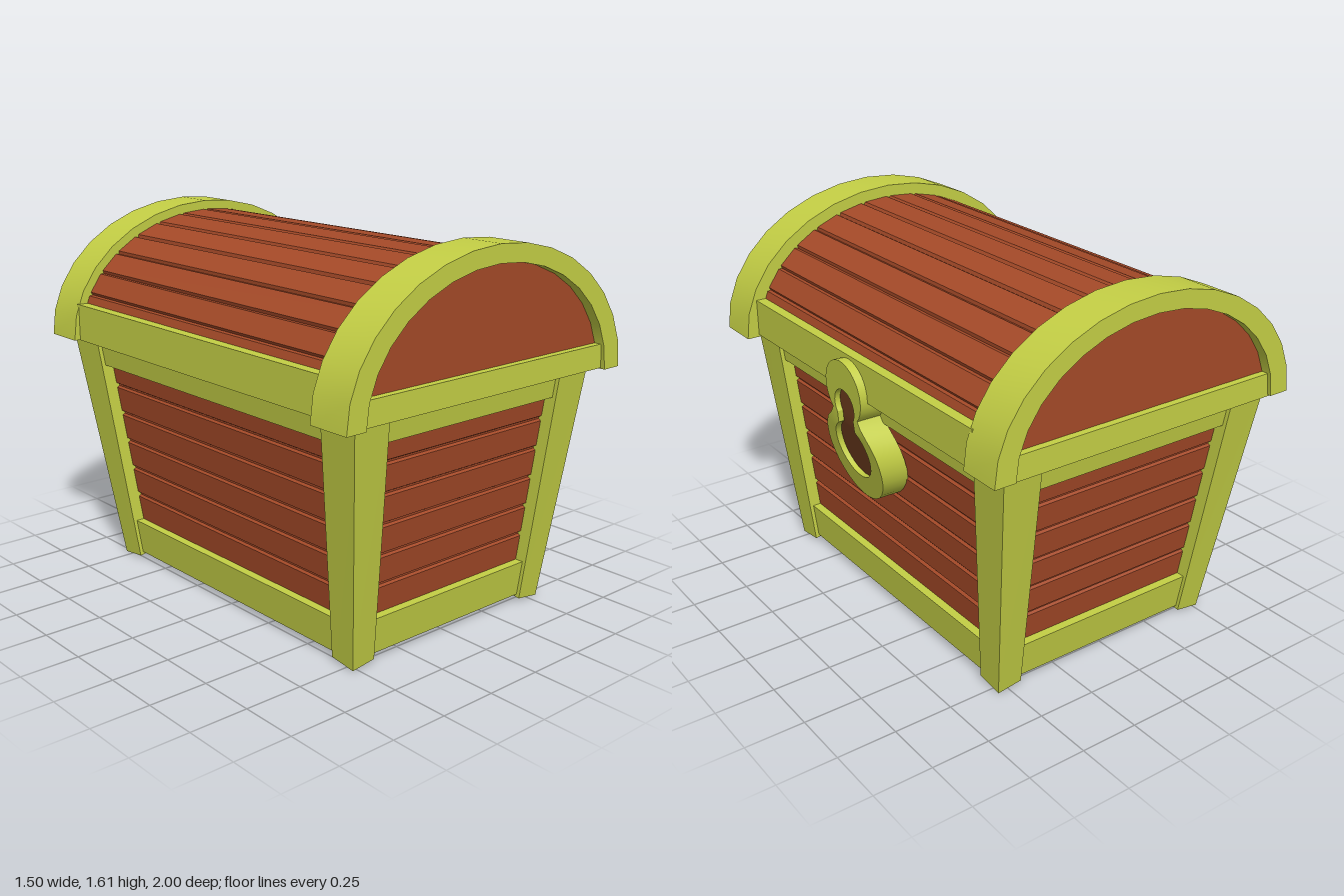
import * as THREE from 'three';
import { toCreasedNormals } from 'three/addons/utils/BufferGeometryUtils.js';

const GOLD = new THREE.MeshStandardMaterial({ color: 0xc4cf45 });
const WOOD = new THREE.MeshStandardMaterial({ color: 0xa54a28 });
const DARK = new THREE.MeshStandardMaterial({ color: 0x6e3c1e });

// Outer outline of the tapered base at height y: half sizes and slight lean
const hx = y => 0.535 + 0.104 * y;
const hz = y => 0.79 + 0.14 * y;
const cx = y => 0.015 * (1 - y);
const cz = y => -0.01 * y;

// Skins a list of closed rings; the ends are capped, joined together or left open
function loft(rings, ends) {
  const pos = [];
  const tri = (...pts) => pts.forEach(p => pos.push(...p));
  const n = rings[0].length;
  const last = ends === 'join' ? rings.length : rings.length - 1;
  for (let r = 0; r < last; r++) {
    const lo = rings[r], hi = rings[(r + 1) % rings.length];
    for (let i = 0; i < n; i++) {
      const j = (i + 1) % n;
      tri(lo[i], lo[j], hi[j]);
      tri(lo[i], hi[j], hi[i]);
    }
  }
  if (ends === 'cap') {
    const a = rings[0], b = rings[rings.length - 1];
    for (let i = 1; i < n - 1; i++) {
      tri(a[0], a[i + 1], a[i]);
      tri(b[0], b[i], b[i + 1]);
    }
  }
  const g = new THREE.BufferGeometry();
  g.setAttribute('position', new THREE.Float32BufferAttribute(pos, 3));
  return toCreasedNormals(g, 0.5);
}

// Rectangular ring around the base, set in from the outline
function baseRing([inset, y]) {
  const x = hx(y) - inset, z = hz(y) - inset;
  return [[-1, 1], [1, 1], [1, -1], [-1, -1]].map(([a, b]) => [cx(y) + a * x, y, cz(y) + b * z]);
}

// Cross-section of a corner post; its foot is cut square to the lean
function postRing(sx, sz, y, wx, wz, rise) {
  const corner = (ix, iz) => [
    cx(y) + sx * (hx(y) - ix * wx), y + rise * (ix + iz), cz(y) + sz * (hz(y) - iz * wz)];
  const ring = [corner(0, 0), corner(1, 0), corner(1, 1), corner(0, 1)];
  return sx * sz > 0 ? ring.reverse().map((_, i, r) => r[(r.length - i) % r.length]).reverse() : ring.reverse();
}

// Extrudes an outline along z, centred on z
function extrude(shape, depth, z) {
  const g = new THREE.ExtrudeGeometry(shape, { depth, bevelEnabled: false });
  g.translate(0, 0, z - depth / 2);
  return toCreasedNormals(g, 0.5);
}

const SEG = 16;
const ellipse = (a, b, y, t) => new THREE.Vector2(a * Math.cos(t), y + b * Math.sin(t));

// Vaulted plank profile with a small notch at every seam
function vaultShape() {
  const pts = [];
  for (let k = 0; k <= SEG; k++) {
    const t = k * Math.PI / SEG;
    if (k === 0 || k === SEG) { pts.push(ellipse(0.686, 0.52, 1.04, t)); continue; }
    pts.push(ellipse(0.686, 0.52, 1.04, t - 0.016));
    pts.push(ellipse(0.674, 0.508, 1.04, t));
    pts.push(ellipse(0.686, 0.52, 1.04, t + 0.016));
  }
  return new THREE.Shape(pts);
}

// Half-ring band for the ends of the lid
function archShape(a, y, top) {
  const outer = [], inner = [];
  for (let k = 0; k <= SEG; k++) {
    const t = k * Math.PI / SEG;
    outer.push(ellipse(a, top - y, y, t));
    inner.push(ellipse(a - 0.092, top - y - 0.073, y, t));
  }
  return new THREE.Shape([...outer, ...inner.reverse()]);
}

// Keyhole outline as [sideways, y]: a lower and an upper circle, mirrored
function keyhole(y1, r1, end1, y2, r2, start2) {
  const half = [], N = 12;
  const arc = (y, r, from, to) => {
    for (let i = 0; i <= N; i++) {
      const t = THREE.MathUtils.degToRad(from + (to - from) * i / N);
      half.push([r * Math.cos(t), y + r * Math.sin(t)]);
    }
  };
  arc(y1, r1, -90, end1);
  arc(y2, r2, start2, 90);
  return [...half, ...half.slice(1, -1).reverse().map(([w, y]) => [-w, y])];
}

// The lock face leans with the base below and stands upright at the lid
const lockX = y => (y > 0.9 ? 0.72 + 0.05 * (y - 0.9) : 0.72 - 0.235 * (0.9 - y));
const lockRing = (outline, back, squash = 1) =>
  outline.map(([w, y]) => [lockX(y) - back, y, 0.015 - w * squash]);

export function createModel() {
  const model = new THREE.Group();
  model.name = 'treasureChest';
  const add = (name, geometry, material, parent = model) => {
    const mesh = new THREE.Mesh(geometry, material);
    mesh.name = name;
    parent.add(mesh);
    return mesh;
  };
  const group = name => {
    const g = new THREE.Group();
    g.name = name;
    model.add(g);
    return g;
  };

  // Base: plank walls with grooves, rails and corner posts
  const base = group('base');
  const wall = [[0.055, 0.06]];
  for (let i = 0; i < 5; i++) {
    const y = 0.307 + i * 0.13;
    wall.push([0.055, y - 0.011], [0.067, y - 0.004], [0.067, y + 0.004], [0.055, y + 0.011]);
  }
  wall.push([0.055, 1.02]);
  add('plankWalls', loft(wall.map(baseRing), 'cap'), WOOD, base);
  for (const [name, y0, y1] of [['bottomRail', 0.03, 0.185], ['topRail', 0.925, 1.03]]) {
    const profile = [[0.018, y0], [0.018, y1], [0.1, y1], [0.1, y0]];
    add(name, loft(profile.map(baseRing), 'join'), GOLD, base);
  }
  for (const sx of [-1, 1]) for (const sz of [-1, 1]) {
    const rings = [postRing(sx, sz, 0, 0.11, 0.12, 0.015), postRing(sx, sz, 1.035, 0.17, 0.185, 0)];
    // Mirrored corners need the opposite winding
    const [a, b, c] = rings[0];
    const turn = (b[2] - a[2]) * (c[0] - b[0]) - (b[0] - a[0]) * (c[2] - b[2]);
    if (turn < 0) rings.forEach(r => r.reverse());
    add('cornerPost', loft(rings, 'cap'), GOLD, base);
  }

  // Lid: vaulted planks, end arches, cross bars and side rails
  const lid = group('lid');
  add('vaultPlanks', extrude(vaultShape(), 1.91, 0), WOOD, lid);
  add('frontArch', extrude(archShape(0.75, 1.03, 1.61), 0.19, 0.905), GOLD, lid);
  add('backArch', extrude(archShape(0.723, 1.042, 1.6), 0.185, -0.9075), GOLD, lid);
  for (const s of [-1, 1]) {
    const bar = add('crossBar', new THREE.BoxGeometry(1.3, 0.1, 0.15), GOLD, lid);
    bar.position.set(0, 1.086, s * 0.91);
    const rail = add('sideRail', new THREE.BoxGeometry(0.07, 0.16, 1.66), GOLD, lid);
    rail.position.set(s * 0.66, 1.12, 0);
  }

  // Lock: bent plate with a keyhole on the left side
  const lock = group('lock');
  const outer = keyhole(0.76, 0.2, 55, 1.05, 0.135, -45);
  const hole = keyhole(0.785, 0.125, 60, 0.985, 0.075, -35);
  add('lockPlate', loft([
    lockRing(outer, 0.12), lockRing(outer, 0), lockRing(hole, 0), lockRing(hole, 0.12),
  ], 'join'), GOLD, lock);
  add('keyholePanel', loft([lockRing(hole, 0.025), lockRing(hole, 0.025, 0)], 'open'), DARK, lock);

  return model;
}
